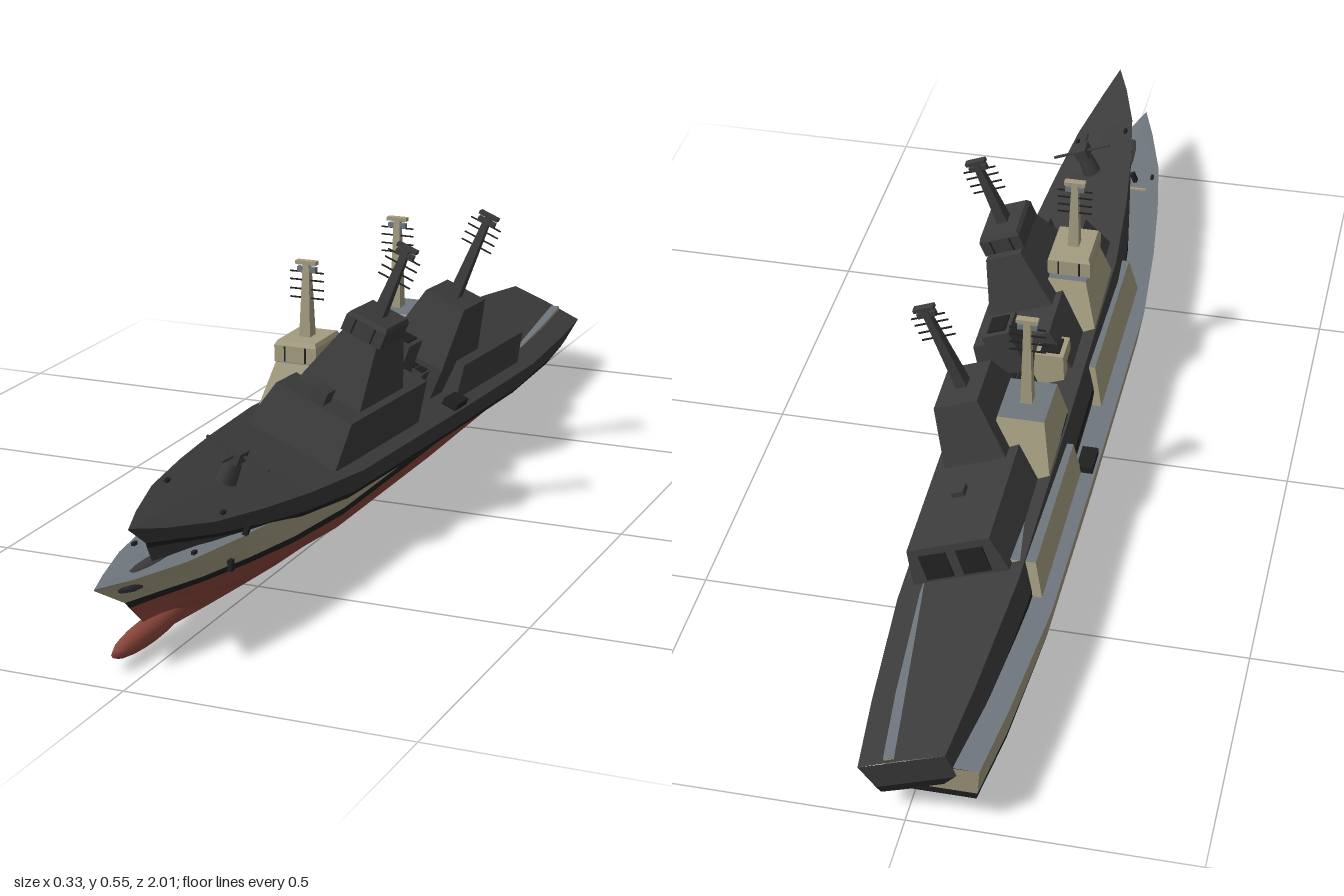
import * as THREE from 'three';

const mat = (name, color) => {
  const m = new THREE.MeshStandardMaterial({ color });
  m.name = name;
  return m;
};

// Hull stations: [u, deckHalf, deckY, waterHalf, waterY, bilgeHalf, flatHalf, keelY]
const STATIONS = [
  [-1, 0.08, 0.137, 0.072, 0.066, 0.055, 0.025, 0.045],
  [-0.85, 0.097, 0.137, 0.09, 0.065, 0.068, 0.03, 0.02],
  [-0.6, 0.117, 0.137, 0.105, 0.064, 0.085, 0.036, 0.003],
  [-0.2, 0.12, 0.137, 0.108, 0.064, 0.09, 0.04, 0],
  [0.3, 0.12, 0.138, 0.107, 0.065, 0.088, 0.04, 0],
  [0.5, 0.104, 0.141, 0.09, 0.068, 0.07, 0.032, 0.001],
  [0.65, 0.086, 0.145, 0.068, 0.073, 0.05, 0.022, 0.003],
  [0.8, 0.062, 0.15, 0.042, 0.08, 0.028, 0.012, 0.006],
  [0.92, 0.028, 0.156, 0.016, 0.087, 0.01, 0.005, 0.01],
  [1, 0, 0.161, 0, 0.091, 0, 0, 0.012],
];
// How far forward and aft each level reaches (raked stem and stern)
const STEM = [0.79, 0.79, 0.84, 0.885, 0.9, 1, 1];
const STERN = [0.97, 0.97, 0.98, 0.99, 0.992, 1, 1];

function hullPoint(st, level, side) {
  const [u, dh, dy, wh, wy, bh, fh, ky] = st;
  const x = [0, fh, bh, wh, wh + (dh - wh) * 0.3, dh, 0][level];
  const y = [ky, ky, ky + (wy - ky) * 0.5, wy, wy + 0.014, dy, dy + 0.002][level];
  return [x * side, y, u * (u > 0 ? STEM : STERN)[level]];
}

// Flat-shaded band of hull plating between two levels, with its piece of transom
function hullBand(from, to) {
  const pos = [];
  const quad = (a, b, c, d, flip) => {
    const order = flip ? [a, c, b, a, d, c] : [a, b, c, a, c, d];
    order.forEach((p) => pos.push(...p));
  };
  for (let l = from; l < to; l++) {
    for (const side of [1, -1]) {
      for (let i = 0; i < STATIONS.length - 1; i++) {
        const [s, t] = [STATIONS[i], STATIONS[i + 1]];
        quad(hullPoint(s, l, side), hullPoint(t, l, side),
          hullPoint(t, l + 1, side), hullPoint(s, l + 1, side), side > 0);
      }
    }
    if (l < 5) {
      const s = STATIONS[0];
      quad(hullPoint(s, l, -1), hullPoint(s, l, 1), hullPoint(s, l + 1, 1), hullPoint(s, l + 1, -1), true);
    }
  }
  const g = new THREE.BufferGeometry();
  g.setAttribute('position', new THREE.Float32BufferAttribute(pos, 3));
  g.computeVertexNormals();
  return g;
}

// Box whose top is narrower than its base
function taperedBox(halfBase, halfTop, y0, y1, back, front, insetBack, insetFront) {
  const g = new THREE.BoxGeometry(2, 1, 1);
  const p = g.attributes.position;
  for (let i = 0; i < p.count; i++) {
    const top = p.getY(i) > 0;
    const z = p.getZ(i) > 0 ? front - (top ? insetFront : 0) : back + (top ? insetBack : 0);
    p.setXYZ(i, p.getX(i) * (top ? halfTop : halfBase), top ? y1 : y0, z);
  }
  g.computeVertexNormals();
  return g;
}

function makeShip(name, c) {
  const ship = new THREE.Group();
  ship.name = name;
  const add = (part, geo, material, x = 0, y = 0, z = 0) => {
    const m = new THREE.Mesh(geo, material);
    m.name = part;
    m.position.set(x, y, z);
    ship.add(m);
    return m;
  };
  const box = (part, w, h, d, material, x, y, z) =>
    add(part, new THREE.BoxGeometry(w, h, d), material, x, y, z);
  const roofed = [c.side, c.side, c.deck, c.side, c.side, c.side];

  // Hull
  add('lowerHull', hullBand(0, 3), c.bottom);
  add('waterlineStripe', hullBand(3, 4), c.trim);
  add('upperHull', hullBand(4, 5), c.side);
  add('deck', hullBand(5, 6), c.deck);
  const bulb = add('bowBulb', new THREE.SphereGeometry(0.021, 14, 10), c.bottom, 0, 0.03, 0.82);
  bulb.scale.z = 6;
  for (const s of [1, -1]) {
    add('rudder', taperedBox(0.004, 0.006, 0.004, 0.04, -0.91, -0.835, 0.01, 0), c.bottom, s * 0.035);
    box('anchor', 0.008, 0.02, 0.012, c.trim, s * 0.073, 0.098, 0.66);
    box('sideRaft', 0.03, 0.014, 0.06, c.trim, s * 0.1, 0.144, -0.19);
    box('bollard', 0.006, 0.008, 0.012, c.trim, s * 0.055, 0.151, 0.76);
  }

  // Deckhouses and towers
  add('frontDeckhouse', taperedBox(0.094, 0.079, 0.135, 0.222, -0.02, 0.375, 0.008, 0.03), roofed);
  add('frontTower', taperedBox(0.066, 0.036, 0.22, 0.328, 0.075, 0.28, 0.035, 0.04), roofed);
  add('rearDeckhouse', taperedBox(0.094, 0.08, 0.135, 0.205, -0.57, -0.215, 0.012, 0.01), roofed);
  add('rearTower', taperedBox(0.062, 0.043, 0.2, 0.315, -0.345, -0.15, 0.035, 0.045), roofed);
  add('towerStep', taperedBox(0.062, 0.062, 0.13, 0.201, -0.345, -0.15, 0, 0), c.side);
  for (const s of [1, -1]) {
    add('hangarDoor', taperedBox(0.026, 0.026, 0.145, 0.192, -0.572, -0.566, 0.009, -0.009), c.trim, s * 0.036);
  }

  // Bridge crown with corner ribs
  add('crown', taperedBox(0.041, 0.041, 0.327, 0.358, 0.125, 0.235, 0, 0), c.side);
  add('crownRoof', taperedBox(0.041, 0.037, 0.358, 0.366, 0.125, 0.235, 0.005, 0.005), c.side);
  for (const x of [-0.02, 0.02]) {
    for (const z of [0.125, 0.235]) box('crownRib', 0.003, 0.028, 0.003, c.trim, x, 0.343, z);
  }

  // Masts with yards and a head
  const mast = (z, y0, y1) => {
    add('mast', taperedBox(0.011, 0.006, y0, y1, z - 0.013, z + 0.013, 0.007, 0.007), c.side);
    box('mastHead', 0.04, 0.007, 0.014, c.side, 0, y1, z);
    box('mastSensor', 0.036, 0.01, 0.01, c.deck, 0, y1 - 0.013, z);
    for (const drop of [0.018, 0.033, 0.05, 0.066]) {
      box('mastYard', 0.066, 0.0025, 0.0025, c.trim, 0, y1 - drop, z);
    }
  };
  mast(0.18, 0.36, 0.502);
  mast(-0.25, 0.31, 0.49);

  // Funnel and launchers amidships
  add('funnel', taperedBox(0.034, 0.027, 0.13, 0.272, -0.065, 0.01, 0.005, 0.005), c.side);
  box('funnelMouth', 0.036, 0.006, 0.045, c.trim, 0, 0.272, -0.0275);
  for (const s of [1, -1]) {
    box('launcher', 0.044, 0.065, 0.036, c.side, s * 0.025, 0.168, -0.105);
    for (const t of [-0.01, 0.01]) box('launcherLid', 0.016, 0.004, 0.028, c.trim, s * 0.025 + t, 0.201, -0.105);
  }

  // Guns: foredeck turret with crossbar, small turret on the deckhouse
  add('gunBase', new THREE.CylinderGeometry(0.016, 0.02, 0.045, 8), c.side, 0, 0.165, 0.64);
  box('gunTurret', 0.026, 0.022, 0.036, c.side, 0, 0.198, 0.64);
  box('gunCrossbar', 0.124, 0.004, 0.005, c.side, 0, 0.2, 0.637);
  const barrel = add('gunBarrel', new THREE.CylinderGeometry(0.003, 0.003, 0.05, 6), c.side, 0, 0.2, 0.675);
  barrel.rotation.x = Math.PI / 2;
  box('smallTurret', 0.03, 0.028, 0.035, c.side, 0, 0.234, 0.32);
  box('roofHatch', 0.024, 0.014, 0.024, c.side, 0.01, 0.208, -0.42);
  return ship;
}

export function createModel() {
  const dark = mat('dark grey', 0x3c3c3c);
  const black = mat('black', 0x202020);
  const painted = {
    side: mat('beige', 0xa39c80), deck: mat('deck grey', 0x6f777e),
    bottom: mat('red', 0x8a463b), trim: black,
  };
  const plain = { side: dark, deck: dark, bottom: dark, trim: black };

  const model = new THREE.Group();
  model.name = 'twinShips';
  const upright = makeShip('uprightShip', painted);
  upright.position.x = -0.047;

  // Second ship leans to its left with its bow raised, through the first
  const leaning = makeShip('leaningShip', plain);
  leaning.position.set(-0.05, 0.066, -0.001);
  leaning.rotation.set(-0.052, 0, -0.384);
  model.add(upright, leaning);
  return model;
}
